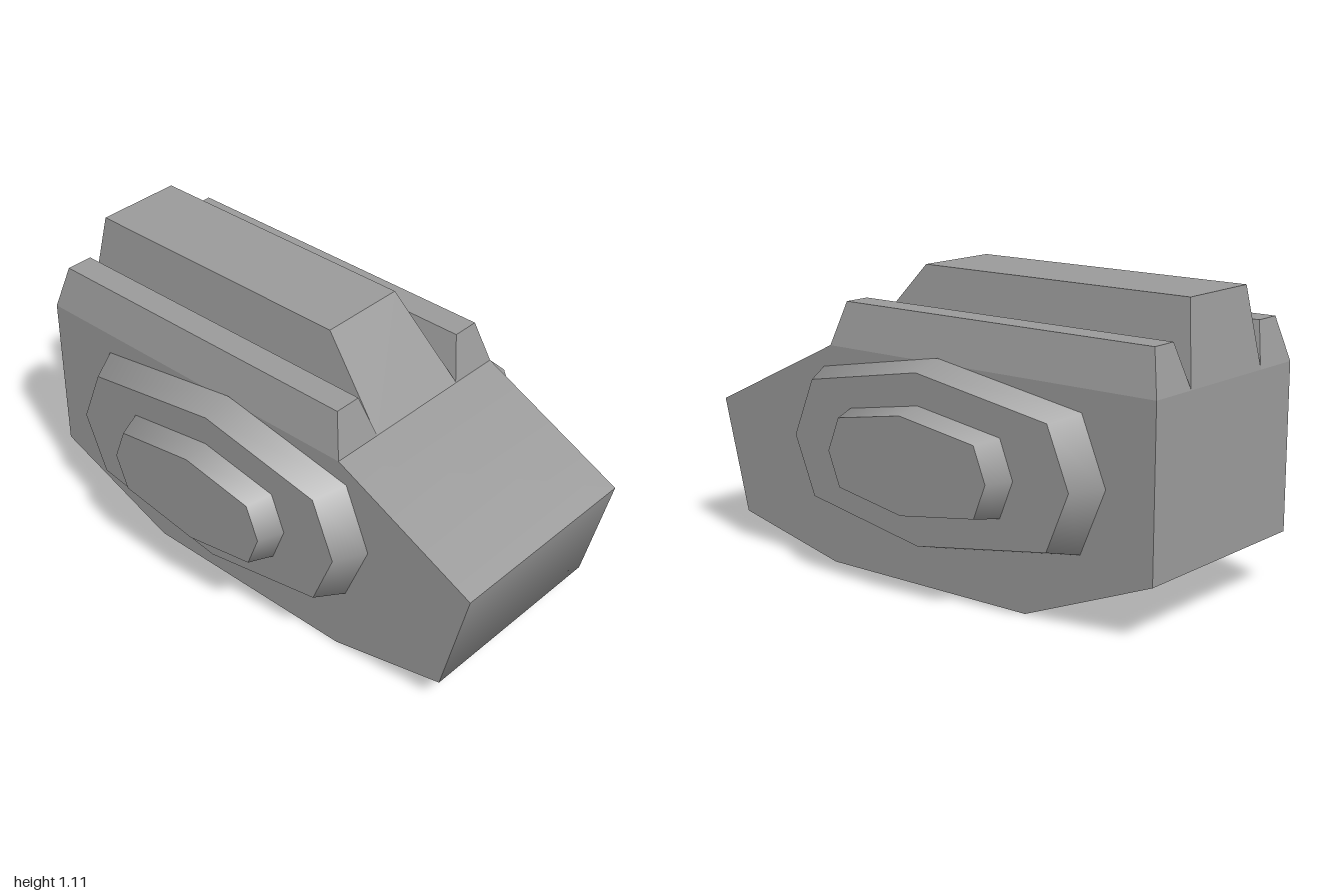
import * as THREE from 'three';

const material = new THREE.MeshStandardMaterial({ color: 0x9a9a9a });

// Unit normal of three points in counterclockwise order.
function faceNormal(a, b, c) {
  const [p, q, r] = [a, b, c].map((v) => new THREE.Vector3(...v));
  return q.sub(p).cross(r.sub(p)).normalize();
}

// Joins two convex loops (counterclockwise seen from the end loop) into a capped solid.
// Neighbouring walls that meet at less than the crease angle are shaded smoothly.
function loft(name, start, end, crease = 0) {
  const pos = [];
  const nor = [];
  const tri = (pts, normals) => {
    pts.forEach((p) => pos.push(...p));
    normals.forEach((v) => nor.push(v.x, v.y, v.z));
  };
  const n = start.length;
  const walls = start.map((p, i) => faceNormal(p, start[(i + 1) % n], end[i]));
  const blend = (a, b) => (a.angleTo(b) < crease ? a.clone().add(b).normalize() : a);
  for (let i = 0; i < n; i++) {
    const j = (i + 1) % n;
    const first = blend(walls[i], walls[(i + n - 1) % n]);
    const last = blend(walls[i], walls[j]);
    tri([start[i], start[j], end[j]], [first, last, last]);
    tri([start[i], end[j], end[i]], [first, last, first]);
  }
  const front = faceNormal(end[0], end[1], end[2]);
  const back = faceNormal(start[0], start[2], start[1]);
  for (let i = 1; i < n - 1; i++) {
    tri([end[0], end[i], end[i + 1]], [front, front, front]);
    tri([start[0], start[i + 1], start[i]], [back, back, back]);
  }
  const geometry = new THREE.BufferGeometry();
  geometry.setAttribute('position', new THREE.Float32BufferAttribute(pos, 3));
  geometry.setAttribute('normal', new THREE.Float32BufferAttribute(nor, 3));
  const mesh = new THREE.Mesh(geometry, material);
  mesh.name = name;
  return mesh;
}

// Places a [z, y] profile at a given x.
const atX = (profile, x) => profile.map(([z, y]) => [x, y, z]);

// Rectangle at height y.
const rect = (y, x0, x1, z0, z1) => [[x0, y, z1], [x1, y, z1], [x1, y, z0], [x0, y, z0]];

// Stretched octagon: front, back and apex z, corner z values, half heights.
function octagon(front, back, apex, cornerFront, cornerBack, cornerH, h, cy = 0.496) {
  return [
    [front, cy], [cornerFront, cy - cornerH], [apex, cy - h], [cornerBack, cy - cornerH],
    [back, cy], [cornerBack, cy + cornerH], [apex, cy + h], [cornerFront, cy + cornerH],
  ];
}

export function createModel() {
  const model = new THREE.Group();
  const halfWidth = 0.405;

  // Wedge-nosed hull
  const hull = [[1, 0.54], [0.89, 0.11], [0.42, 0], [-0.48, 0], [-1, 0.205], [-1, 0.818], [0.425, 0.818]];
  model.add(loft('hull', atX(hull, -halfWidth), atX(hull, halfWidth), 1.13));

  // Tall central ridge
  model.add(loft('centreRidge',
    rect(0.818, -0.213, 0.213, -1, 0.425), rect(1.11, -0.168, 0.168, -0.96, 0.17)));

  // Stepped side bosses
  const steps = [
    ['OuterBoss', halfWidth, octagon(0.56, -0.81, -0.09, 0.46, -0.71, 0.24, 0.34),
      0.517, octagon(0.5, -0.745, -0.09, 0.41, -0.655, 0.216, 0.307)],
    ['InnerBoss', 0.517, octagon(0.275, -0.515, -0.098, 0.22, -0.46, 0.138, 0.193),
      0.61, octagon(0.24, -0.475, -0.098, 0.19, -0.425, 0.125, 0.175)],
  ];

  for (const side of [1, -1]) {
    const label = side > 0 ? 'left' : 'right';
    const turn = (loop) => (side > 0 ? loop : loop.reverse());
    for (const [name, x0, base, x1, cap] of steps) {
      model.add(loft(label + name, turn(atX(base, side * x0)), turn(atX(cap, side * x1)), 1.04));
    }

    // Low ridge along each top edge
    const span = (a, b) => (side > 0 ? [a, b] : [-b, -a]);
    model.add(loft(label + 'Ridge',
      rect(0.818, ...span(0.21, halfWidth), -1, 0.425),
      rect(0.978, ...span(0.258, 0.362), -0.96, 0.38)));
  }
  return model;
}
